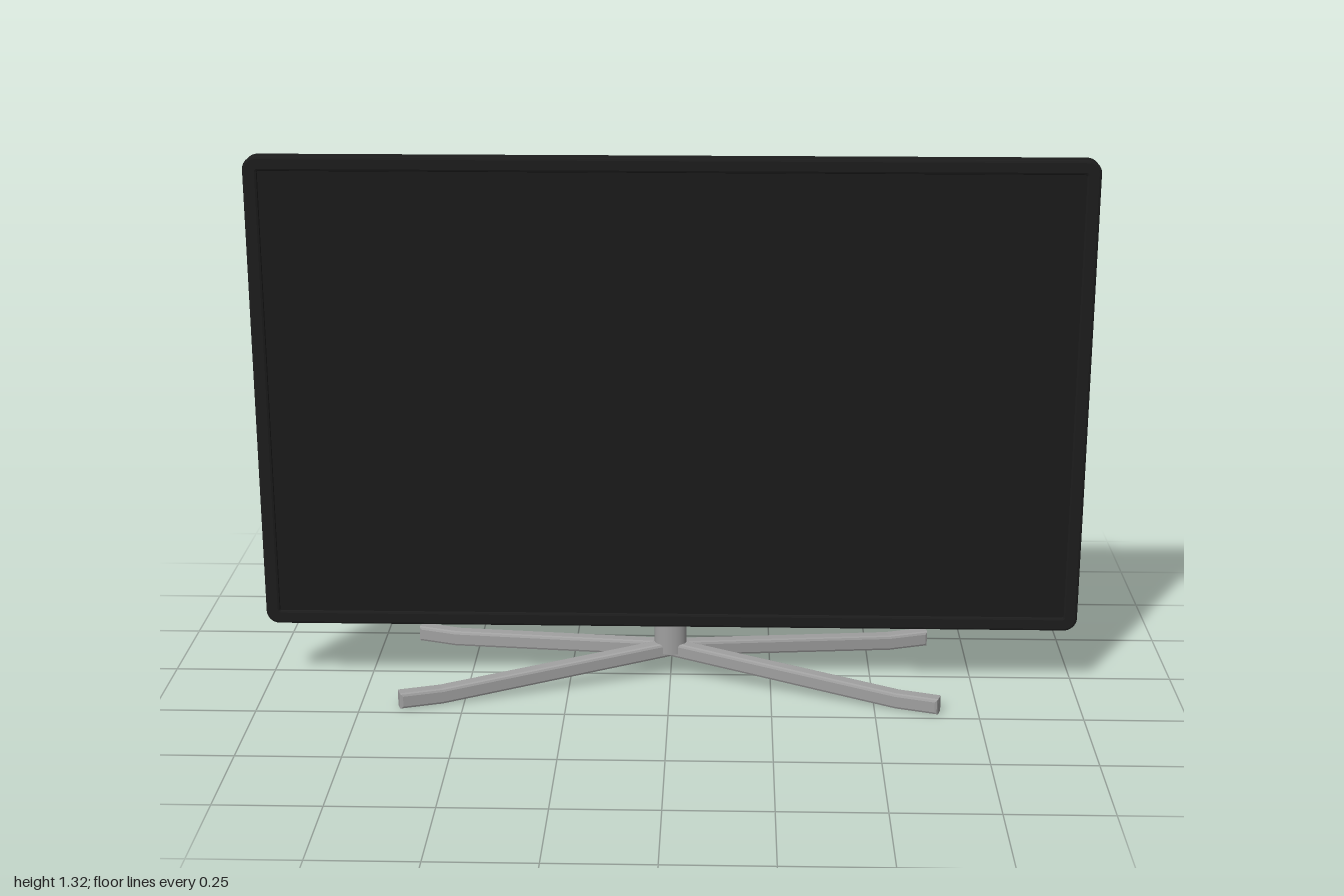
import * as THREE from 'three';

const frameMat = new THREE.MeshStandardMaterial({ color: 0x1c1c1c });
frameMat.name = 'black plastic';
const screenMat = new THREE.MeshStandardMaterial({ color: 0x1a1a1a });
screenMat.name = 'dark screen';
const metalMat = new THREE.MeshStandardMaterial({ color: 0xa0a0a0 });
metalMat.name = 'grey metal';

const BOTTOM = 0.155, TOP = 1.325, MID = (BOTTOM + TOP) / 2;

function add(parent, name, geometry, material) {
  const mesh = new THREE.Mesh(geometry, material);
  mesh.name = name;
  parent.add(mesh);
  return mesh;
}

// Rounded rectangle centred on the origin
function roundedRect(path, w, h, r) {
  const x = w / 2, y = h / 2;
  path.moveTo(-x + r, -y);
  path.lineTo(x - r, -y);
  path.absarc(x - r, -y + r, r, -Math.PI / 2, 0);
  path.lineTo(x, y - r);
  path.absarc(x - r, y - r, r, 0, Math.PI / 2);
  path.lineTo(-x + r, y);
  path.absarc(-x + r, y - r, r, Math.PI / 2, Math.PI);
  path.lineTo(-x, -y + r);
  path.absarc(-x + r, -y + r, r, Math.PI, Math.PI * 1.5);
  return path;
}

// Bezel ring with softened edges
function bezelGeometry() {
  const b = 0.006;
  const shape = roundedRect(new THREE.Shape(), 2 - 2 * b, TOP - BOTTOM - 2 * b, 0.026);
  shape.holes.push(roundedRect(new THREE.Path(), 1.93 + 2 * b, 1.1 + 2 * b, 0.008));
  const g = new THREE.ExtrudeGeometry(shape, {
    depth: 0.045 - 2 * b, bevelThickness: b, bevelSize: b, bevelSegments: 2, curveSegments: 6,
  });
  return g.translate(0, MID, 0.025 + b);
}

// Sloped rear shell: a box whose back face shrinks to a flat plateau
function shellGeometry() {
  const g = new THREE.BoxGeometry(2, 2, 2);
  const p = g.attributes.position;
  for (let i = 0; i < p.count; i++) {
    const back = p.getZ(i) < 0, up = p.getY(i) > 0;
    const x = Math.sign(p.getX(i)) * (back ? 0.48 : 0.985);
    const y = back ? (up ? 1.01 : 0.43) : (up ? 1.3 : 0.18);
    p.setXYZ(i, x, y, back ? -0.022 : 0.03);
  }
  g.computeVertexNormals();
  return g;
}

// One bar of the cross-shaped foot: arched in the middle, flat at both tips
function footBarGeometry() {
  const b = 0.007, half = 0.69 - b, bend = 0.585;
  const shape = new THREE.Shape([
    [-half, b], [-bend, b], [0, 0.055 + b], [bend, b], [half, b],
    [half, 0.04 - b], [bend, 0.04 - b], [0, 0.093 - b], [-bend, 0.04 - b], [-half, 0.04 - b],
  ].map(([x, y]) => new THREE.Vector2(x, y)));
  const depth = 0.038 - 2 * b;
  const g = new THREE.ExtrudeGeometry(shape, {
    depth, bevelThickness: b, bevelSize: b, bevelSegments: 2,
  });
  return g.translate(0, 0, -depth / 2);
}

export function createModel() {
  const model = new THREE.Group();
  model.name = 'monitor';

  // Display panel
  const panel = new THREE.Group();
  panel.name = 'displayPanel';
  model.add(panel);
  add(panel, 'bezel', bezelGeometry(), frameMat);
  add(panel, 'screen', new THREE.BoxGeometry(1.935, 1.105, 0.034), screenMat).position.set(0, MID, 0.048);
  add(panel, 'rearShell', shellGeometry(), frameMat);
  add(panel, 'standMount', new THREE.BoxGeometry(0.35, 0.25, 0.05), frameMat).position.set(0, 0.315, 0.003);

  // Stand
  const stand = new THREE.Group();
  stand.name = 'stand';
  model.add(stand);
  const neck = add(stand, 'neck', new THREE.CylinderGeometry(1, 1, 0.125, 32), metalMat);
  neck.scale.set(0.04, 1, 0.03);
  neck.position.y = 0.1275;
  const bar = footBarGeometry();
  for (const side of [-1, 1]) {
    add(stand, side < 0 ? 'rightFrontFootBar' : 'leftFrontFootBar', bar, metalMat)
      .rotation.y = -side * Math.atan2(0.215, 0.655);
  }
  return model;
}
